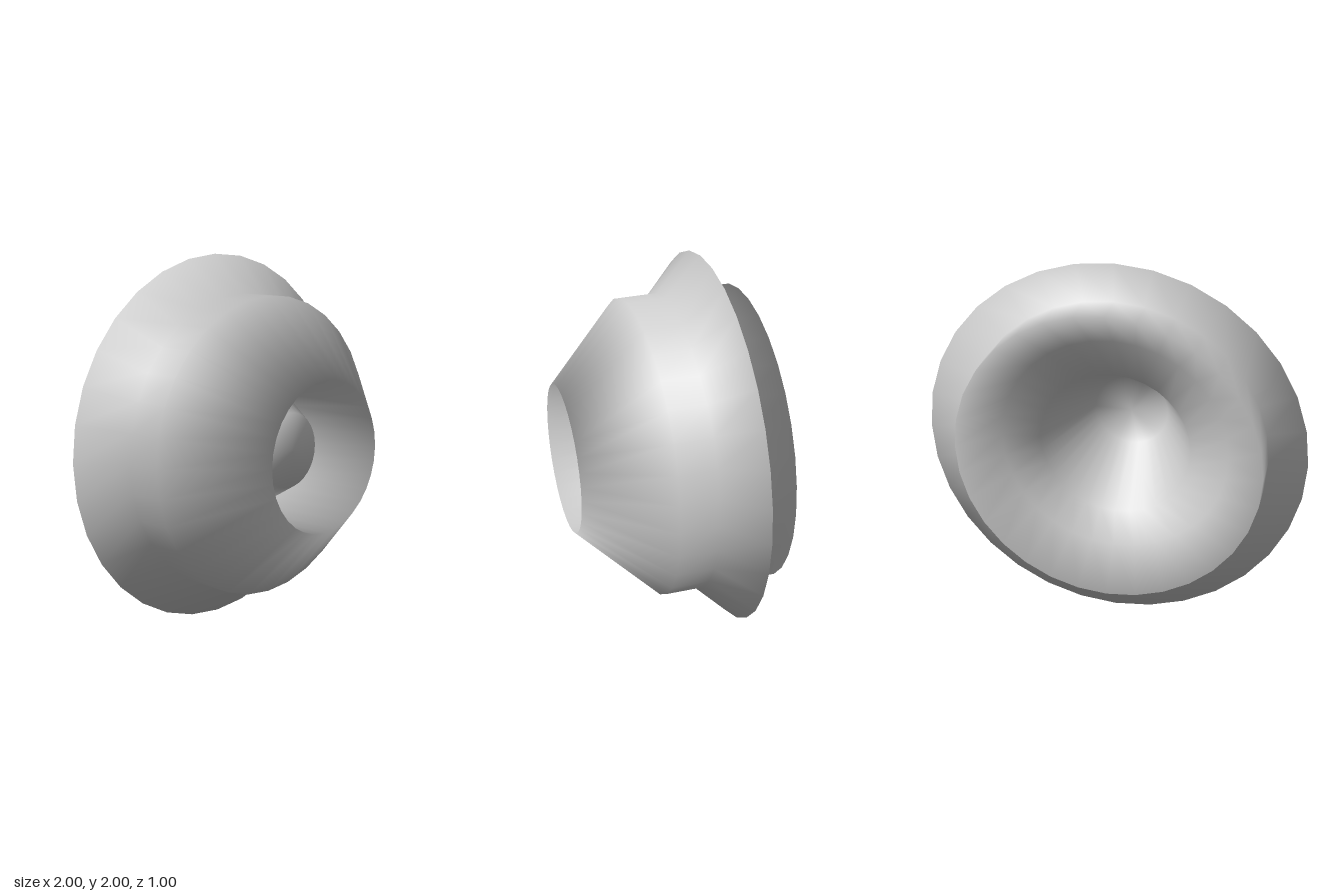
import * as THREE from 'three';

const SEGMENTS = 32;

// Profile as [radius, z], from the back centre, around the outside, to the front centre
const PROFILE = [
  // back bowl with a sunken centre
  [0, 0.1], [0.2, 0.1], [0.4, -0.3], [0.6, -0.33],
  // back rim and flared flange
  [0.8, -0.5], [0.8, -0.3], [1, -0.3], [0.8, -0.1],
  // barrel and tapered nose
  [0.8, 0.1], [0.4, 0.5],
  // front bore with a raised centre
  [0.4, -0.1], [0.2, 0.25], [0, 0.27],
];

export function createModel() {
  const group = new THREE.Group();
  group.name = 'flangedNozzle';

  // Lathe with averaged normals, turned so its axis runs along z
  const points = PROFILE.map(([r, z]) => new THREE.Vector2(r, z));
  const geometry = new THREE.LatheGeometry(points, SEGMENTS);
  geometry.rotateX(Math.PI / 2);

  const body = new THREE.Mesh(
    geometry,
    new THREE.MeshStandardMaterial({ color: 0xcccccc, side: THREE.DoubleSide })
  );
  body.name = 'turnedBody';
  body.position.y = 1;
  group.add(body);
  return group;
}
